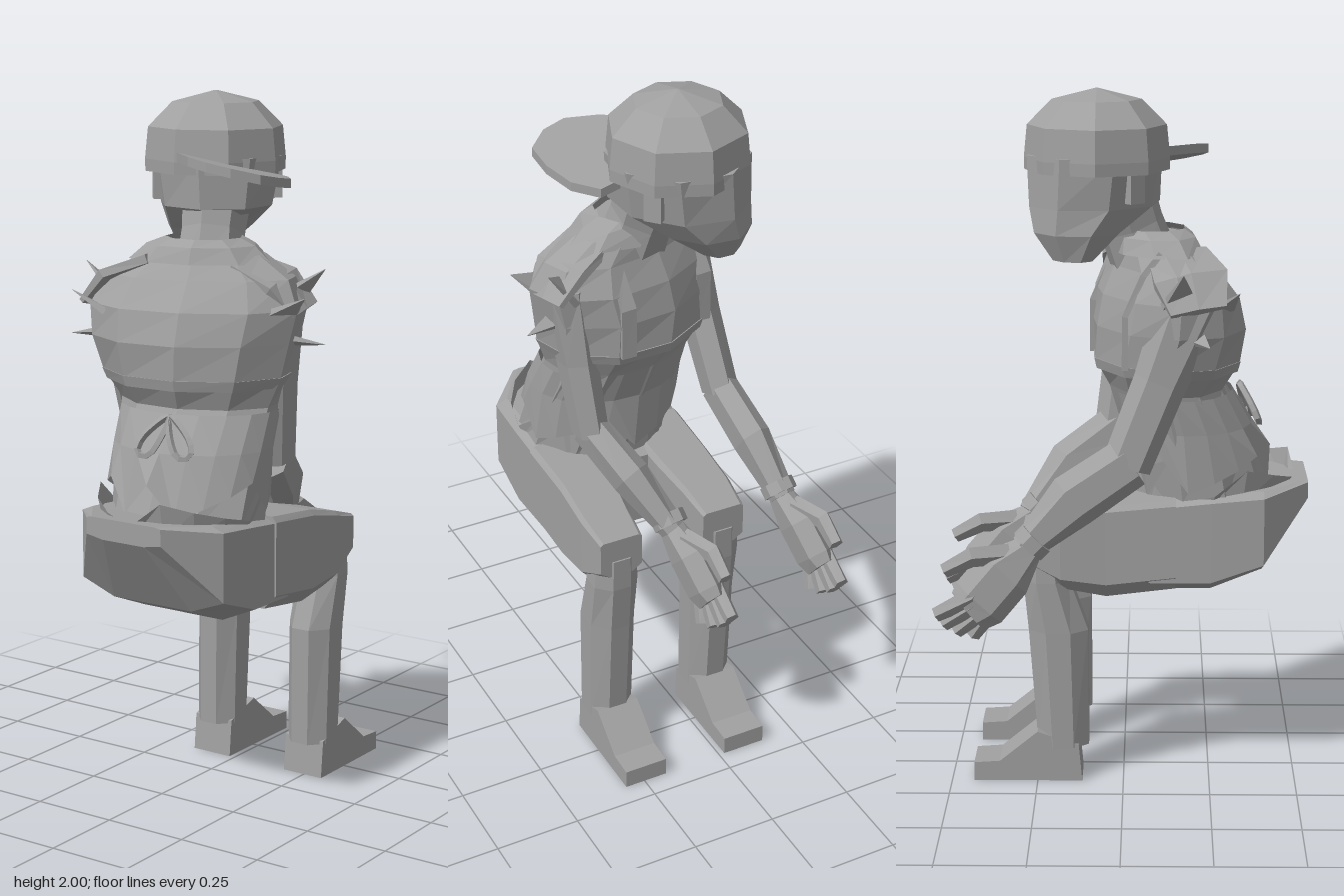
import * as THREE from 'three';

const grey = new THREE.MeshStandardMaterial({ color: 0xa0a0a0, flatShading: true, side: THREE.DoubleSide });
grey.name = 'plain grey';
const V = (x, y, z) => new THREE.Vector3(x, y, z);

// Joins equal-length point rings into a faceted skin, turned outward
function loft(rings, capped = true) {
  const tris = [], n = rings[0].length;
  for (let r = 0; r + 1 < rings.length; r++) {
    for (let i = 0; i < n; i++) {
      const j = (i + 1) % n, [a, b, c, d] = [rings[r][i], rings[r][j], rings[r + 1][j], rings[r + 1][i]];
      tris.push([a, b, c], [a, c, d]);
    }
  }
  if (capped) {
    [rings[0], rings[rings.length - 1]].forEach((ring, end) => {
      const mid = ring.reduce((s, p) => s.add(p), V(0, 0, 0)).divideScalar(n);
      ring.forEach((p, i) => {
        const q = ring[(i + 1) % n];
        tris.push(end ? [p, q, mid] : [q, p, mid]);
      });
    });
  }
  const volume = tris.reduce((s, [a, b, c]) => s + a.dot(b.clone().cross(c)), 0);
  const points = tris.flatMap(([a, b, c]) => (volume < 0 ? [a, c, b] : [a, b, c]));
  const geo = new THREE.BufferGeometry().setFromPoints(points);
  geo.computeVertexNormals();
  return geo;
}

// Level elliptical ring, turned by yaw
function ring(x, y, z, rx, rz, yaw = 0, n = 10, phase = 0) {
  return Array.from({ length: n }, (_, i) => {
    const a = ((i + phase) / n) * Math.PI * 2;
    return V(Math.sin(a) * rx, 0, Math.cos(a) * rz).applyAxisAngle(V(0, 1, 0), yaw).add(V(x, y, z));
  });
}

// Limb along [x, y, z, radiusA, radiusB] stations
function limb(stations, n = 6, ref = V(1, 0, 0)) {
  const pts = stations.map(s => V(s[0], s[1], s[2]));
  return loft(stations.map((s, k) => {
    const t = pts[Math.min(k + 1, pts.length - 1)].clone().sub(pts[Math.max(k - 1, 0)]).normalize();
    const v = t.clone().cross(ref).normalize(), u = v.clone().cross(t);
    return Array.from({ length: n }, (_, i) => {
      const a = ((i + 0.5) / n) * Math.PI * 2;
      return pts[k].clone().addScaledVector(u, Math.cos(a) * s[3]).addScaledVector(v, Math.sin(a) * s[4]);
    });
  }));
}

// Upright section across the model, narrowing at its underside
const section = (z, cx, w, y0, y1) => [
  [-0.55, 0], [0.55, 0], [1, 0.16], [1, 0.94], [0.85, 1], [-0.85, 1], [-1, 0.94], [-1, 0.16],
].map(([s, t]) => V(cx + s * w, y0 + (y1 - y0) * t, z));

// Position on the turned chest: sideways, height, forward
const chestAt = (s, y, f) => V(0.035 + s * 0.95 - f * 0.32, y, 0.12 - s * 0.32 - f * 0.95);

export function createModel() {
  const model = new THREE.Group();
  const add = (name, geo, parent = model) => {
    const mesh = new THREE.Mesh(geo, grey);
    mesh.name = name;
    parent.add(mesh);
    return mesh;
  };

  // Torso, twisting from hips to shoulders
  add('torso', loft([
    ring(0.08, 0.84, 0.23, 0.23, 0.2),
    ring(0.065, 1.0, 0.185, 0.23, 0.185, 0.1),
    ring(0.05, 1.15, 0.12, 0.235, 0.165, 0.2),
    ring(0.04, 1.23, 0.12, 0.275, 0.21, 0.28),
    ring(0.035, 1.33, 0.125, 0.3, 0.212, 0.33),
    ring(0.04, 1.42, 0.12, 0.315, 0.19, 0.33),
    ring(0.04, 1.5, 0.105, 0.275, 0.14, 0.33),
    ring(0.035, 1.56, 0.085, 0.18, 0.11, 0.33),
    ring(0.03, 1.59, 0.075, 0.1, 0.09, 0.33),
  ]));
  add('collar', loft([ring(0.03, 1.54, 0.09, 0.21, 0.13, 0.33, 9), ring(0.03, 1.585, 0.085, 0.16, 0.115, 0.33, 9),
    ring(0.03, 1.605, 0.075, 0.11, 0.1, 0.33, 9)], false));

  // Torn hem and ragged waistband
  const torn = (points, drop) => points.map((p, i) => p.add(V(0, drop * ((i * 7) % 4) / 3, 0)));
  add('tornHem', loft([
    ring(0.055, 1.14, 0.135, 0.235, 0.175, 0.15, 18),
    ring(0.065, 1.04, 0.18, 0.235, 0.19, 0.1, 18),
    torn(ring(0.07, 0.96, 0.21, 0.235, 0.215, 0.05, 18), -0.09),
  ], false));
  add('waistRags', loft([
    ring(0.08, 0.83, 0.25, 0.22, 0.23, 0, 16),
    torn(ring(0.08, 0.86, 0.26, 0.23, 0.24, 0, 16), 0.07),
  ], false));

  // Drawstring bow on the back
  const bow = new THREE.Group();
  bow.name = 'bow';
  model.add(bow);
  for (const s of [-1, 1]) {
    const loop = new THREE.CatmullRomCurve3([V(0, 0, 0), V(s * 0.015, -0.06, 0.03), V(s * 0.045, -0.105, 0.045),
      V(s * 0.08, -0.1, 0.04), V(s * 0.07, -0.06, 0.025)], true);
    add('bowLoop', new THREE.TubeGeometry(loop, 14, 0.01, 4, true), bow);
  }
  bow.position.set(0.095, 1.14, 0.335);
  bow.rotation.y = 0.2;

  // Chest straps and band
  for (const s of [-0.15, 0.15]) {
    const path = [[1.55, 0.07], [1.49, 0.12], [1.38, 0.172], [1.23, 0.172]];
    add('strap', limb(path.map(([y, f]) => [...chestAt(s, y, f).toArray(), 0.032, 0.012]), 4));
  }
  add('chestBand', loft([ring(0.04, 1.205, 0.12, 0.265, 0.206, 0.28), ring(0.04, 1.235, 0.12, 0.279, 0.213, 0.28)]));

  // Torn sleeve edges around each armhole: [root height, forward, tip outward, tip height, root size]
  const shards = [[1.33, 0.0, 0.37, 1.32, 0.04], [1.43, 0.05, 0.35, 1.52, 0.07], [1.4, -0.07, 0.335, 1.46, 0.07]];
  for (const s of [-1, 1]) {
    for (const [y, f, out, tipY, size] of shards) {
      const root = chestAt(s * 0.25, y, f), tip = chestAt(s * out, tipY, f * 1.4);
      add('sleeveShard', limb([[...root.toArray(), size, 0.015], [...tip.toArray(), 0.001, 0.001]], 4, V(0, 0.5, 1)));
    }
    add('shoulderFlap', limb([[...chestAt(s * 0.12, 1.54, 0.01).toArray(), 0.1, 0.025],
      [...chestAt(s * 0.24, 1.49, 0.01).toArray(), 0.12, 0.025],
      [...chestAt(s * 0.305, 1.41, 0.01).toArray(), 0.09, 0.015]], 6, V(0, 0, 1)));
  }

  // Neck and head, looking over one side
  add('neck', limb([[0.035, 1.5, 0.06, 0.1, 0.1], [0.02, 1.61, 0.02, 0.09, 0.095], [0.005, 1.72, -0.02, 0.1, 0.105]], 7));
  add('head', loft([
    ring(-0.135, 1.535, -0.14, 0.065, 0.055, 0.71, 8, 0.5),
    ring(-0.095, 1.61, -0.125, 0.125, 0.13, 0.71, 8, 0.5),
    ring(-0.04, 1.68, -0.08, 0.165, 0.2, 0.71, 8, 0.5),
    ring(-0.035, 1.82, -0.08, 0.19, 0.2, 0.71, 8, 0.5),
  ]));
  for (const s of [-1, 1]) {
    const ear = add('ear', new THREE.BoxGeometry(0.025, 0.09, 0.05));
    ear.position.set(-0.035 + s * 0.13, 1.74, -0.08 - s * 0.112);
    ear.rotation.y = 0.71;
  }

  // Cap worn backwards
  const capRing = (y, r) => ring(-0.037, y, -0.075, r, r, 0, 8);
  add('capCrown', loft([capRing(1.775, 0.203), capRing(1.81, 0.204), capRing(1.9, 0.195), capRing(1.97, 0.125), capRing(2, 0.004)]));
  const brim = [[-0.03, 0.125], [0.06, 0.2], [0.15, 0.24], [0.22, 0.225], [0.28, 0.17], [0.28, 0.08],
    [0.255, -0.02], [0.2, -0.09], [0.12, -0.08], [0, 0.05]];
  add('capBrim', loft([0, 0.026].map(t => brim.map(([x, z]) => V(x, 1.803 + t - 0.16 * x + 0.16 * (z - 0.1), z)))));

  // Pelvis
  add('hips', loft([
    section(0.53, 0.08, 0.125, 0.82, 0.88), section(0.4, 0.08, 0.24, 0.62, 0.87), section(0.25, 0.08, 0.242, 0.56, 0.86),
    section(0.08, 0.08, 0.238, 0.56, 0.84), section(0.0, 0.08, 0.225, 0.6, 0.82),
  ]));

  // Thighs, shins and shoes
  for (const x of [-0.082, 0.245]) {
    const inward = x < 0 ? 0.01 : -0.01;
    add('thigh', loft([
      section(0.15, x + inward, 0.09, 0.58, 0.85), section(-0.05, x + inward, 0.085, 0.555, 0.83),
      section(-0.18, x, 0.076, 0.58, 0.8), section(-0.285, x, 0.065, 0.65, 0.77),
    ]));
    add('shin', loft([
      ring(x, 0.1, -0.175, 0.072, 0.08, 0, 8, 0.5), ring(x, 0.45, -0.188, 0.075, 0.093, 0, 8, 0.5),
      ring(x, 0.6, -0.222, 0.074, 0.072, 0, 8, 0.5), ring(x, 0.7, -0.225, 0.068, 0.07, 0, 8, 0.5),
    ]));
    const profile = new THREE.Shape([[-0.12, 0], [-0.435, 0], [-0.435, 0.055], [-0.36, 0.06], [-0.25, 0.15], [-0.13, 0.11]]
      .map(([z, y]) => new THREE.Vector2(z, y)));
    const shoe = add('shoe', new THREE.ExtrudeGeometry(profile, { depth: 0.13, bevelEnabled: false }));
    shoe.rotation.y = -Math.PI / 2;
    shoe.position.x = x + 0.065;
  }

  // Arms resting forward, hands hanging past the knees
  const arms = [
    { shoulder: chestAt(-0.23, 1.43, 0), elbow: [-0.23, 0.97, 0.01], dx: 0 },
    { shoulder: chestAt(0.23, 1.43, 0), elbow: [0.21, 0.97, -0.02], dx: 0.36 },
  ];
  const fingers = [[0.735, -0.42, 0.695, -0.495], [0.62, -0.42, 0.57, -0.52], [0.6, -0.41, 0.54, -0.5],
    [0.58, -0.39, 0.515, -0.465], [0.57, -0.375, 0.5, -0.42]];
  for (const { shoulder, elbow, dx } of arms) {
    const [ex, ey, ez] = elbow, wx = -0.285 + dx;
    add('upperArm', limb([[...shoulder.toArray(), 0.07, 0.1],
      [(shoulder.x + ex) / 2, 1.2, (shoulder.z + ez) / 2, 0.055, 0.075], [ex, ey, ez, 0.05, 0.07]]));
    add('forearm', limb([[ex, ey + 0.01, ez + 0.01, 0.048, 0.075],
      [ex * 0.55 + wx * 0.45, 0.875, ez * 0.55 - 0.145, 0.052, 0.08], [wx, 0.745, -0.275, 0.038, 0.042]]));
    add('bracelet', limb([[wx + 0.004, 0.775, -0.24, 0.05, 0.055], [wx, 0.75, -0.265, 0.05, 0.055]], 8));
    add('palm', limb([[wx, 0.745, -0.26, 0.035, 0.042], [wx - 0.02, 0.68, -0.33, 0.048, 0.085],
      [wx - 0.04, 0.6, -0.4, 0.048, 0.085], [wx - 0.045, 0.575, -0.43, 0.035, 0.07]]));
    fingers.forEach(([y0, z0, y1, z1], i) => {
      const side = i ? 0.025 - i * 0.006 : 0.01, reach = i ? 0.07 - i * 0.012 : 0.05;
      const start = i ? [wx - 0.035, y0 + 0.03, z0 + 0.03] : [wx - 0.015, 0.735, -0.32];
      add(i ? 'finger' : 'thumb', limb([[...start, 0.028, 0.032],
        [wx - 0.04 - side, y0, z0, 0.026, 0.03], [wx - reach, y1, z1, 0.022, 0.022]], 5));
    });
  }
  return model;
}
